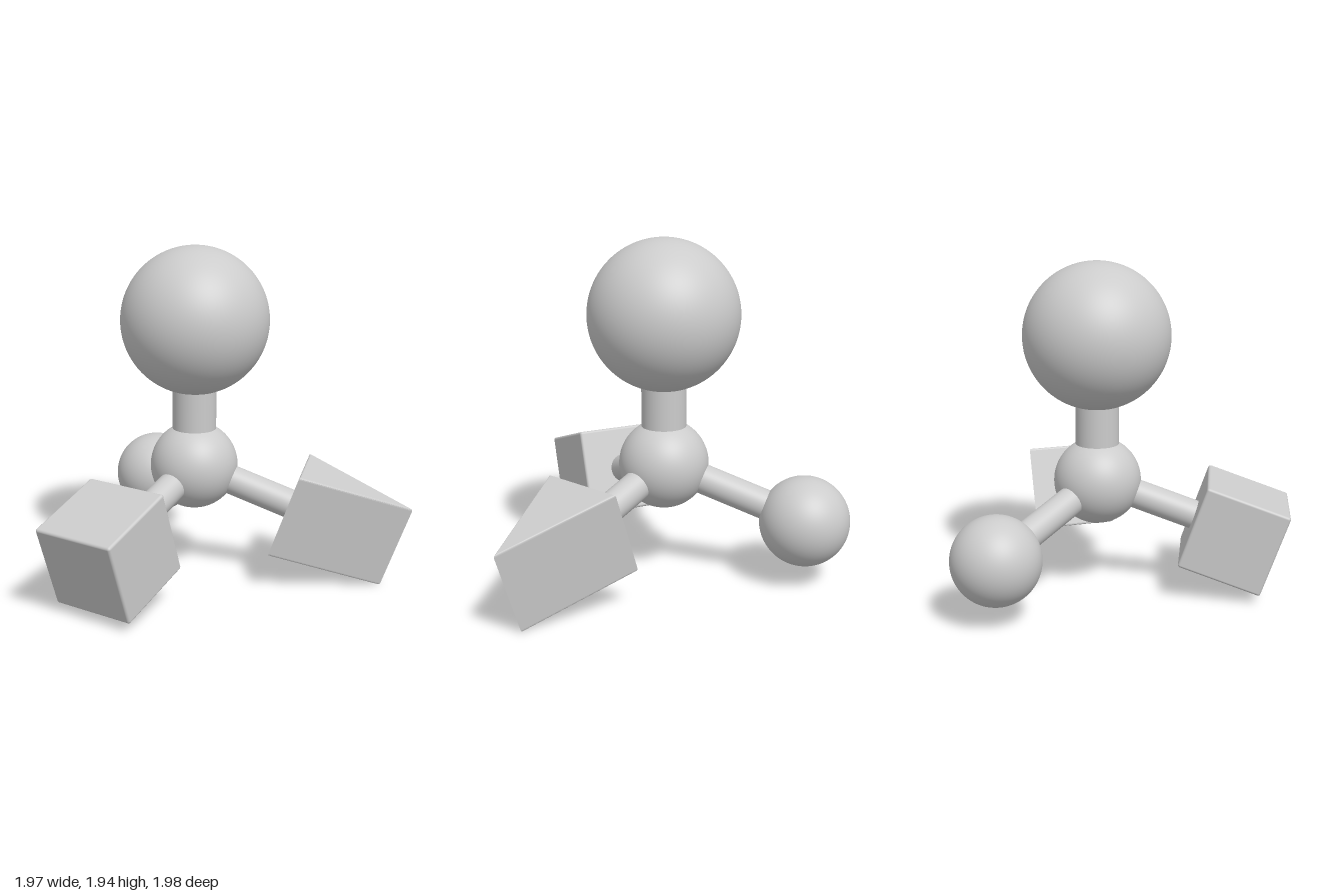
import * as THREE from 'three';
import { RoundedBoxGeometry } from 'three/addons/geometries/RoundedBoxGeometry.js';

const grey = new THREE.MeshStandardMaterial({ color: 0xcccccc });
const rad = THREE.MathUtils.degToRad;

function part(name, geometry, x = 0, y = 0) {
  const mesh = new THREE.Mesh(geometry, grey);
  mesh.name = name;
  mesh.position.set(x, y, 0);
  return mesh;
}

const ball = (r) => new THREE.SphereGeometry(r, 96, 64);

// Triangular prism: flat base at x = 0, vertical knife edge at x = length
function wedgeGeometry(length, width, height) {
  const bevel = 0.012;
  const shape = new THREE.Shape([
    new THREE.Vector2(0, -width / 2),
    new THREE.Vector2(length, 0),
    new THREE.Vector2(0, width / 2),
  ]);
  const geometry = new THREE.ExtrudeGeometry(shape, {
    depth: height - 2 * bevel,
    bevelSize: bevel,
    bevelThickness: bevel,
    bevelOffset: -bevel,
    bevelSegments: 3,
  });
  return geometry.translate(0, 0, bevel - height / 2).rotateX(-Math.PI / 2);
}

// Limb whose local +x runs outward and down from the hub
function limb(name, azimuth, rodLength, tip) {
  const group = new THREE.Group();
  group.name = name;
  group.rotation.set(0, rad(-azimuth), rad(-19.5), 'YZX');
  const rod = new THREE.CylinderGeometry(0.085, 0.085, rodLength, 48).rotateZ(Math.PI / 2);
  group.add(part(name + 'Rod', rod, rodLength / 2), tip);
  return group;
}

export function createModel() {
  const model = new THREE.Group();
  model.name = 'tetrahedralModel';

  // Everything radiates from the hub centre
  const body = new THREE.Group();
  body.name = 'body';
  body.position.set(0.156, 0.665, 0.015);
  model.add(body);

  // Hub, neck and large upper sphere
  body.add(
    part('hub', ball(0.255)),
    part('neck', new THREE.CylinderGeometry(0.127, 0.127, 0.6, 64), 0, 0.4),
    part('topSphere', ball(0.427), 0, 0.857),
  );

  // Three lower limbs with different end shapes
  body.add(
    limb('ballLimb', -70, 0.7, part('smallSphere', ball(0.255), 0.858)),
    limb('cubeLimb', 162.2, 0.65, part('cube', new RoundedBoxGeometry(0.505, 0.505, 0.505, 3, 0.015), 0.854)),
    limb('wedgeLimb', 49.6, 0.65, part('wedge', wedgeGeometry(0.66, 0.5, 0.505), 0.602)),
  );
  return model;
}
